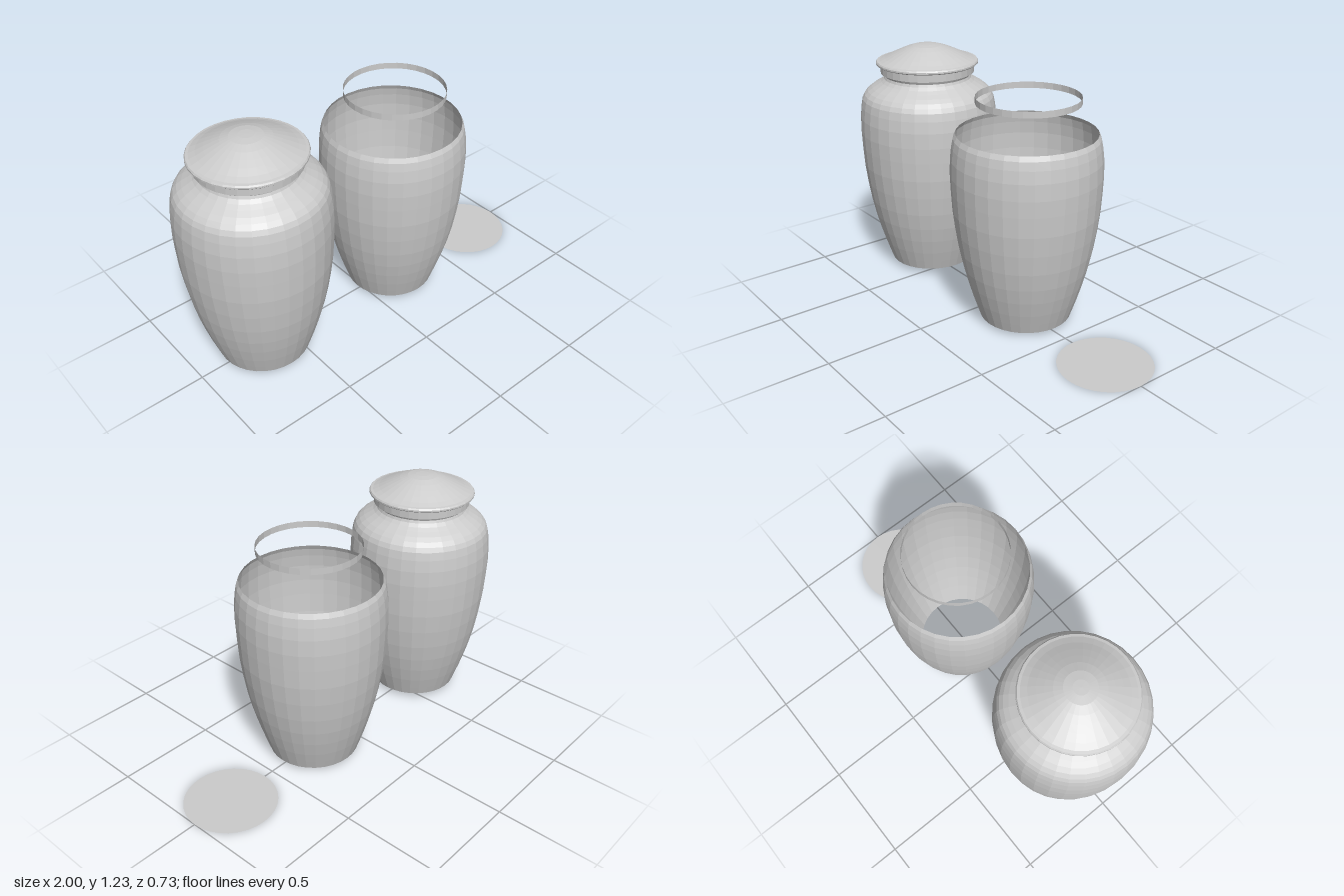
import * as THREE from 'three';

const SIDES = 32;
const material = new THREE.MeshStandardMaterial({
  color: 0xcccccc, flatShading: true, side: THREE.DoubleSide,
});

// Spin a list of [radius, height] points around the vertical axis
function turned(name, points, x, y = 0) {
  const profile = points.map(([r, h]) => new THREE.Vector2(r, h));
  const mesh = new THREE.Mesh(new THREE.LatheGeometry(profile, SIDES), material);
  mesh.name = name;
  mesh.position.set(x, y, 0);
  return mesh;
}

// Tapered wall shared by both vessels
const wall = [
  [0.226, 0], [0.243, 0.05], [0.263, 0.11], [0.287, 0.19], [0.308, 0.27],
  [0.327, 0.36], [0.343, 0.46], [0.355, 0.56], [0.361, 0.66], [0.364, 0.74],
  [0.362, 0.82], [0.355, 0.88], [0.347, 0.92], [0.336, 0.943],
];

// Sloping shoulder and pinched neck
const shoulder = [
  [0.318, 0.963], [0.295, 0.98], [0.268, 0.996], [0.246, 1.01], [0.23, 1.025],
  [0.225, 1.038], [0.231, 1.051], [0.246, 1.06],
];

// Collar, beaded rim and shallow dome
const lid = [
  [0.225, 1.085], [0.246, 1.085], [0.246, 1.127], [0.262, 1.127], [0.268, 1.132],
  [0.268, 1.14], [0.263, 1.147], [0.25, 1.149], [0.22, 1.161], [0.185, 1.178],
  [0.15, 1.194], [0.115, 1.209], [0.075, 1.222], [0.035, 1.227], [0, 1.228],
];

export function createModel() {
  const group = new THREE.Group();
  group.name = 'urnSet';

  // Complete urn with a closed base
  const urn = new THREE.Group();
  urn.name = 'closedUrn';
  const urnX = -0.635;
  urn.add(
    turned('urnBody', [[0, 0], ...wall, ...shoulder], urnX, 0.03),
    turned('urnLid', lid, urnX),
  );
  group.add(urn);

  // Separate parts: open shell, collar band and base disc
  group.add(
    turned('openShell', wall, 0.196, 0.02),
    turned('collarBand', [[0.247, 1.107], [0.247, 1.138]], 0.204),
  );

  const disc = new THREE.Mesh(new THREE.CircleGeometry(0.225, SIDES), material);
  disc.name = 'baseDisc';
  disc.rotation.x = -Math.PI / 2;
  disc.position.x = 0.775;
  group.add(disc);

  return group;
}
